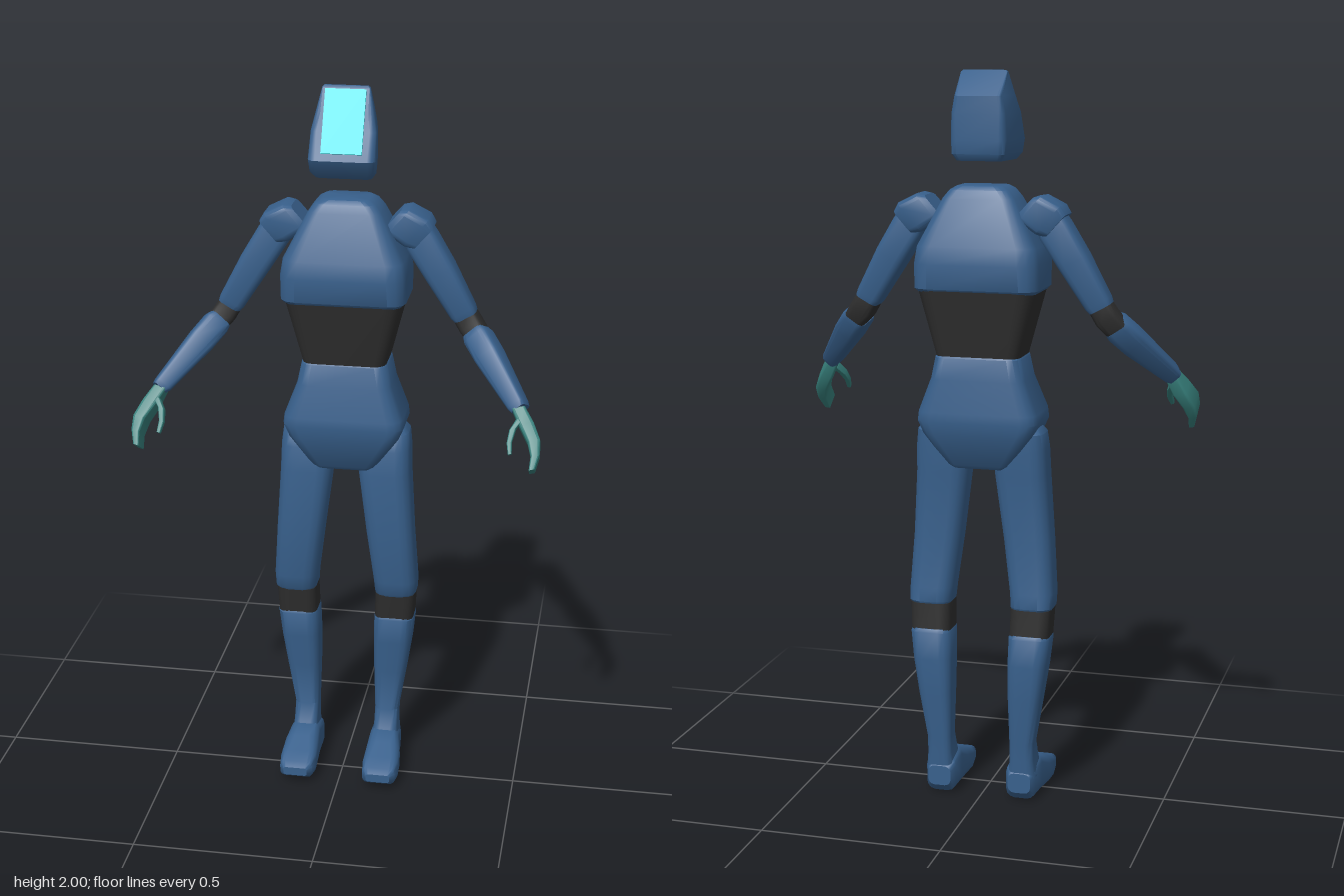
import * as THREE from 'three';
import { toCreasedNormals } from 'three/addons/utils/BufferGeometryUtils.js';

const mat = (name, color) => {
  const m = new THREE.MeshStandardMaterial({ color });
  m.name = name;
  return m;
};

// Skin of rounded-rectangle sections [x, y, z, halfWidth, halfDepth], listed along axis.
// Depth lies along ref, width across it; round is the corner radius share.
function loft(sections, { axis = [0, 1, 0], ref = [0, 0, 1], round = 0.4, side = 1 } = {}) {
  const steps = 3, n = 4 * (steps + 1);
  const w = new THREE.Vector3(axis[0] * side, axis[1], axis[2]).normalize();
  const v = new THREE.Vector3(ref[0] * side, ref[1], ref[2]);
  v.addScaledVector(w, -v.dot(w)).normalize();
  const u = new THREE.Vector3().crossVectors(v, w);
  const pos = [], idx = [];
  for (const [x, y, z, hu, hv] of sections) {
    const r = round * Math.min(hu, hv);
    for (let k = 0; k < 4; k++) {
      for (let j = 0; j <= steps; j++) {
        const a = (k + j / steps) * Math.PI / 2;
        const su = k === 0 || k === 3 ? 1 : -1, sv = k < 2 ? 1 : -1;
        const p = new THREE.Vector3(x * side, y, z)
          .addScaledVector(u, su * (hu - r) + r * Math.cos(a))
          .addScaledVector(v, sv * (hv - r) + r * Math.sin(a));
        pos.push(p.x, p.y, p.z);
      }
    }
  }
  const m = sections.length;
  for (let s = 0; s < m - 1; s++) {
    for (let i = 0; i < n; i++) {
      const a = s * n + i, b = s * n + (i + 1) % n;
      idx.push(a, b, b + n, a, b + n, a + n);
    }
  }
  // End caps
  for (const s of [0, m - 1]) {
    const c = pos.length / 3;
    pos.push(sections[s][0] * side, sections[s][1], sections[s][2]);
    for (let i = 0; i < n; i++) {
      const a = s * n + i, b = s * n + (i + 1) % n;
      if (s === 0) idx.push(c, b, a); else idx.push(c, a, b);
    }
  }
  const g = new THREE.BufferGeometry();
  g.setAttribute('position', new THREE.Float32BufferAttribute(pos, 3));
  g.setIndex(idx);
  return g;
}

// Level section on the centre line from height, half width, back and front
const level = ([y, hw, back, front, x = 0]) => [x, y, (back + front) / 2, hw, (front - back) / 2];

export function createModel() {
  const blue = mat('blue shell', 0x38608c);
  const black = mat('black joint', 0x2e2e2e);
  const teal = mat('teal hand', 0x37807c);
  const cyan = mat('cyan visor', 0x10dbe6);
  const model = new THREE.Group();
  model.name = 'robot';

  const add = (name, geo, material, parent = model) => {
    const mesh = new THREE.Mesh(toCreasedNormals(geo, 0.65), material);
    mesh.name = name;
    parent.add(mesh);
    return mesh;
  };

  // Head: wedge with a slanted face, narrower at the back
  const head = loft([
    [1.767, 0.075, -0.122, 0.0], [1.785, 0.088, -0.135, 0.018], [1.82, 0.09, -0.137, 0.035],
    [1.89, 0.087, -0.137, 0], [1.935, 0.077, -0.135, -0.0225], [1.995, 0.063, -0.068, -0.0525],
    [2.0, 0.058, -0.064, -0.056],
  ].map(level), { round: 0.25 });
  const hp = head.attributes.position;
  for (let i = 0; i < hp.count; i++) {
    if (hp.getZ(i) < -0.09) hp.setX(i, hp.getX(i) * 0.84);
  }
  add('head', head, blue);
  const visor = add('visor', new THREE.BoxGeometry(0.108, 0.172, 0.008), cyan);
  visor.position.set(0, 1.915, -0.0115);
  visor.rotation.x = -Math.atan(0.5);

  // Trunk
  add('chest', loft([
    [1.424, 0.16, -0.178, 0.028], [1.434, 0.17, -0.187, 0.037], [1.5, 0.17, -0.193, 0.046],
    [1.545, 0.163, -0.186, 0.038], [1.67, 0.098, -0.148, -0.006], [1.692, 0.08, -0.14, -0.014],
    [1.702, 0.062, -0.128, -0.026],
  ].map(level)), blue);
  add('abdomen', loft([
    [1.24, 0.112, -0.155, -0.002], [1.43, 0.16, -0.183, 0.031],
  ].map(level)), black);
  add('pelvis', loft([
    [0.945, 0.08, -0.132, -0.006], [0.955, 0.092, -0.14, 0.002], [1.04, 0.152, -0.168, 0.026],
    [1.075, 0.167, -0.173, 0.03], [1.1, 0.164, -0.173, 0.03], [1.19, 0.13, -0.163, 0.008],
    [1.248, 0.118, -0.16, 0.002], [1.256, 0.11, -0.154, -0.004],
  ].map(level)), blue);

  for (const side of [1, -1]) {
    const tag = side > 0 ? 'left' : 'right';
    const leg = new THREE.Group(), arm = new THREE.Group();
    leg.name = tag + 'Leg';
    arm.name = tag + 'Arm';
    model.add(leg, arm);

    // Leg
    add(tag + 'Thigh', loft([
      [0.552, 0.054, -0.13, -0.025, 0.142], [0.562, 0.059, -0.136, -0.019, 0.143],
      [0.6, 0.061, -0.132, -0.012, 0.142], [0.75, 0.066, -0.122, -0.003, 0.127],
      [0.93, 0.072, -0.132, -0.004, 0.11], [1.0, 0.07, -0.138, -0.012, 0.11],
      [1.045, 0.06, -0.138, -0.024, 0.115], [1.063, 0.042, -0.122, -0.04, 0.118],
    ].map(level), { side, round: 0.6 }), blue, leg);
    add(tag + 'Knee', loft([
      [0.475, 0.055, -0.139, -0.033, 0.139], [0.557, 0.056, -0.134, -0.023, 0.142],
    ].map(level), { side, round: 0.5 }), black, leg);
    add(tag + 'Shin', loft([
      [0.07, 0.04, -0.122, -0.015, 0.118], [0.12, 0.034, -0.126, -0.035, 0.118],
      [0.17, 0.034, -0.13, -0.058, 0.118], [0.3, 0.046, -0.144, -0.046, 0.127],
      [0.4, 0.054, -0.148, -0.036, 0.134], [0.476, 0.057, -0.145, -0.029, 0.139],
      [0.486, 0.052, -0.14, -0.034, 0.139],
    ].map(level), { side, round: 0.55 }), blue, leg);
    add(tag + 'Foot', loft([
      [0.115, 0.055, -0.125, 0.032, 0.028], [0.115, 0.055, -0.105, 0.042, 0.05],
      [0.117, 0.06, -0.04, 0.043, 0.058], [0.12, 0.051, 0.01, 0.05, 0.049],
      [0.12, 0.043, 0.06, 0.052, 0.036], [0.12, 0.041, 0.1, 0.047, 0.024],
      [0.12, 0.042, 0.118, 0.034, 0.012],
    ], { side, axis: [0, 0, 1], ref: [0, 1, 0], round: 0.6 }), blue, leg);

    // Arm
    add(tag + 'Shoulder', loft([
      [0.125, 1.65, -0.085, 0.034, 0.046], [0.14, 1.645, -0.085, 0.046, 0.055],
      [0.188, 1.617, -0.085, 0.05, 0.055], [0.208, 1.602, -0.084, 0.04, 0.048],
    ], { side, axis: [0.75, -0.66, 0] }), blue, arm);
    add(tag + 'UpperArm', loft([
      [0.18, 1.635, -0.084, 0.035, 0.036], [0.2, 1.59, -0.084, 0.045, 0.043],
      [0.25, 1.51, -0.081, 0.043, 0.044], [0.315, 1.4, -0.075, 0.036, 0.037],
      [0.324, 1.386, -0.075, 0.032, 0.033],
    ], { side, axis: [0.5, -0.86, 0.03], round: 0.5 }), blue, arm);
    add(tag + 'Elbow', loft([
      [0.318, 1.395, -0.076, 0.032, 0.033], [0.338, 1.362, -0.073, 0.033, 0.034],
      [0.362, 1.332, -0.06, 0.031, 0.031],
    ], { side, axis: [0.54, -0.8, 0.2], round: 0.5 }), black, arm);
    add(tag + 'Forearm', loft([
      [0.352, 1.343, -0.063, 0.032, 0.033], [0.362, 1.333, -0.053, 0.037, 0.038],
      [0.395, 1.295, -0.018, 0.037, 0.038], [0.482, 1.196, 0.078, 0.025, 0.028],
      [0.49, 1.188, 0.086, 0.021, 0.024],
    ], { side, axis: [0.54, -0.6, 0.58], round: 0.5 }), blue, arm);

    // Hand: palm with a slab of fingers, and a thin thumb
    const grip = { side, axis: [0.25, -0.8, 0.5], ref: [0, 0.6, 0.78] };
    add(tag + 'Hand', loft([
      [0.484, 1.19, 0.086, 0.018, 0.02], [0.508, 1.15, 0.102, 0.02, 0.03],
      [0.531, 1.112, 0.127, 0.017, 0.034], [0.537, 1.08, 0.148, 0.012, 0.032],
      [0.531, 1.048, 0.172, 0.008, 0.029],
    ], grip), teal, arm);
    add(tag + 'Thumb', loft([
      [0.492, 1.168, 0.108, 0.012, 0.014], [0.474, 1.145, 0.128, 0.009, 0.012],
      [0.468, 1.118, 0.154, 0.007, 0.009], [0.472, 1.094, 0.176, 0.005, 0.007],
    ], grip), teal, arm);
  }
  return model;
}
